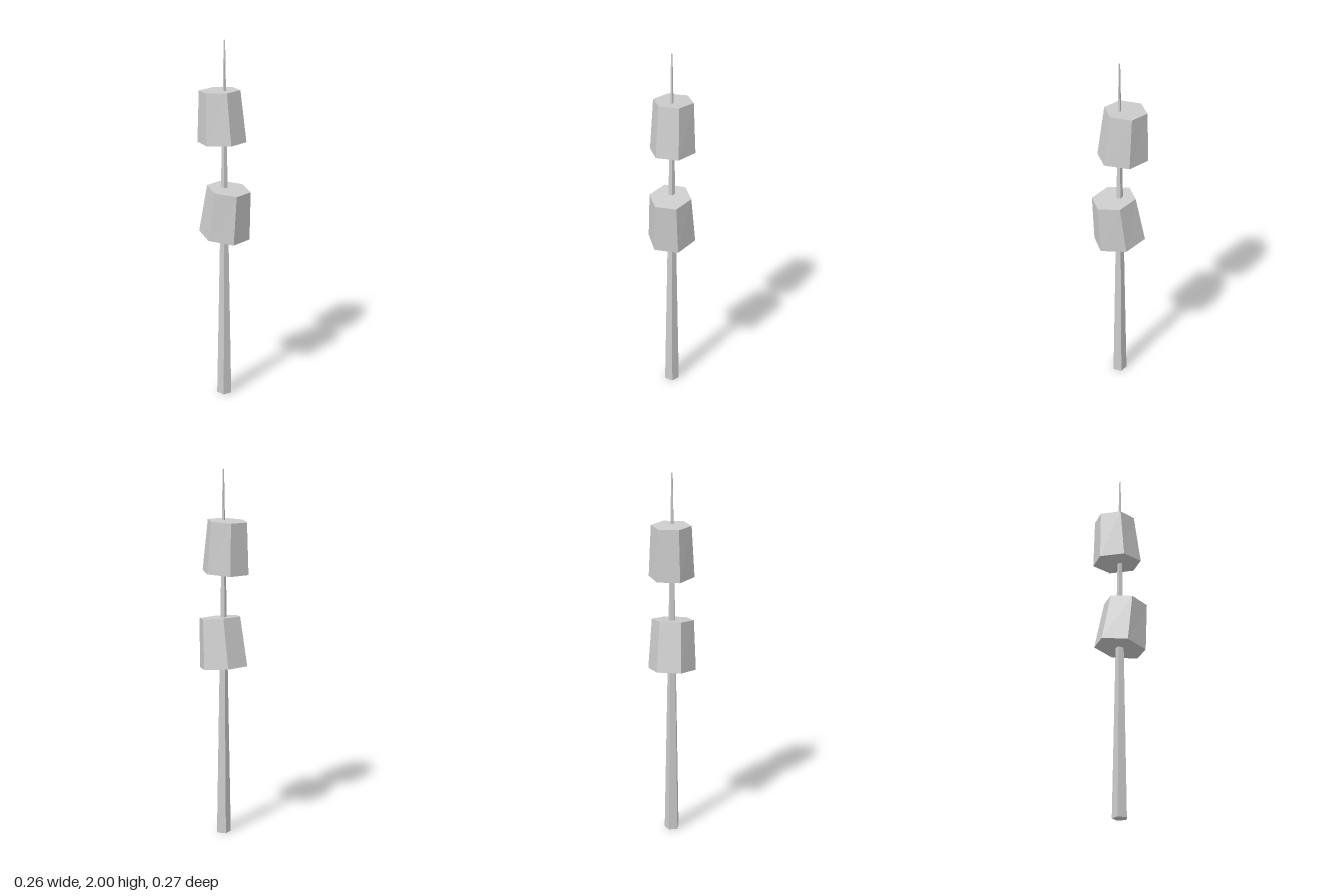
import * as THREE from 'three';

const grey = new THREE.MeshStandardMaterial({ color: 0xcccccc, flatShading: true });
grey.name = 'plain grey';

// Tapered prism with one corner pointing to +x
function prism(name, topRadius, bottomRadius, height, sides) {
  const geometry = new THREE.CylinderGeometry(topRadius, bottomRadius, height, sides, 1, false, Math.PI / 2);
  const mesh = new THREE.Mesh(geometry, grey);
  mesh.name = name;
  return mesh;
}

// Six-sided tapered block, a little deeper than wide, leaning about the x axis
function block(name, top, bottom, height, y, z, tilt) {
  const mesh = prism(name, top.radius, bottom.radius, height, 6);
  const p = mesh.geometry.attributes.position;
  const apothem = Math.cos(Math.PI / 6);
  for (let i = 0; i < p.count; i++) {
    const end = p.getY(i) > 0 ? top : bottom;
    p.setZ(i, p.getZ(i) * end.depth / (end.radius * apothem));
  }
  mesh.geometry.computeVertexNormals();
  mesh.position.set(0, y, z);
  mesh.rotation.x = tilt;
  return mesh;
}

export function createModel() {
  const model = new THREE.Group();
  model.name = 'poleWithBlocks';

  // Five-sided pole tapering to a thin tip
  const pole = prism('pole', 0.004, 0.042, 2, 5);
  pole.position.y = 1;
  model.add(pole);

  // Two blocks threaded on the pole, leaning opposite ways
  model.add(
    block('lowerBlock', { radius: 0.114, depth: 0.105 }, { radius: 0.13, depth: 0.125 }, 0.27, 1.075, 0.015, 0.12),
    block('upperBlock', { radius: 0.107, depth: 0.098 }, { radius: 0.122, depth: 0.119 }, 0.275, 1.595, -0.026, -0.057)
  );
  return model;
}
